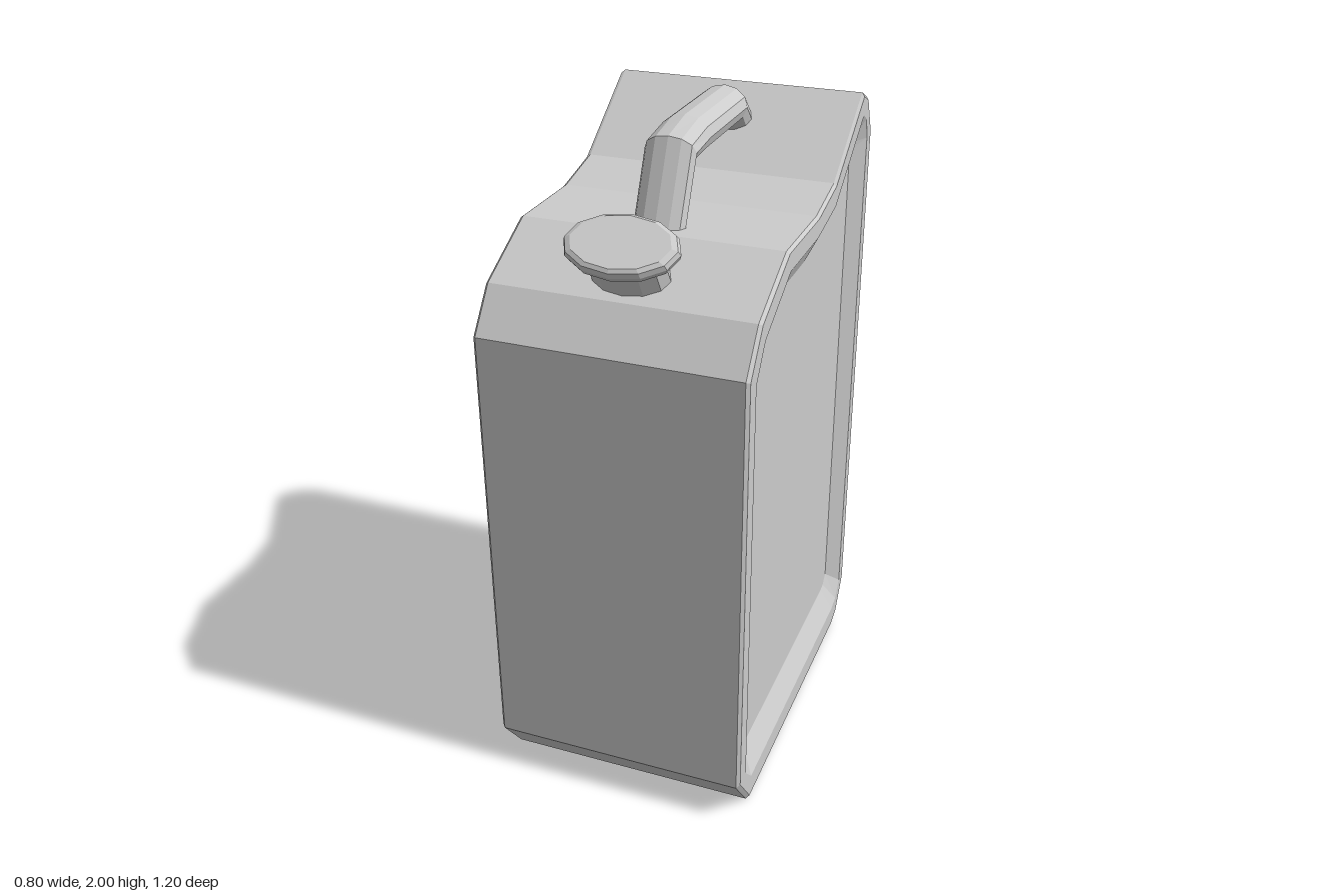
import * as THREE from 'three';

const material = new THREE.MeshStandardMaterial({ color: 0xcccccc, flatShading: true });

// Skin over a list of closed rings of Vector3; rings run counter-clockwise about the travel direction
function loft(rings, capShape) {
  const n = rings[0].length;
  const last = (rings.length - 1) * n;
  const positions = rings.flat().flatMap((p) => [p.x, p.y, p.z]);
  const index = [];
  for (let k = 0; k < rings.length - 1; k++) {
    for (let i = 0; i < n; i++) {
      const a = k * n + i, b = k * n + (i + 1) % n;
      index.push(a, b, b + n, a, b + n, a + n);
    }
  }
  if (capShape) {
    for (const [a, b, c] of THREE.ShapeUtils.triangulateShape(capShape, [])) {
      index.push(last + a, last + b, last + c, a, c, b);
    }
  }
  const indexed = new THREE.BufferGeometry();
  indexed.setAttribute('position', new THREE.Float32BufferAttribute(positions, 3));
  indexed.setIndex(index);
  const geometry = indexed.toNonIndexed();
  geometry.computeVertexNormals();
  return geometry;
}

function part(name, geometry) {
  const mesh = new THREE.Mesh(geometry, material);
  mesh.name = name;
  return mesh;
}

// Body side outlines as [z, y]: outer edge, top of the recess slope, recess floor
const outer = [[0.5, 0], [-0.47, 0], [-0.53, 0.02], [-0.6, 0.13], [-0.6, 1.84], [-0.545, 1.95],
  [-0.49, 1.975], [-0.2, 1.78], [-0.02, 1.74], [0.27, 1.74], [0.5, 1.625], [0.595, 1.5], [0.6, 0.13]];
const rim = [[0.48, 0.08], [-0.46, 0.08], [-0.505, 0.095], [-0.546, 0.15], [-0.546, 1.82], [-0.525, 1.885],
  [-0.49, 1.905], [-0.2, 1.71], [-0.02, 1.677], [0.25, 1.677], [0.465, 1.565], [0.535, 1.465], [0.537, 0.14]];
const floor = [[0.445, 0.165], [-0.44, 0.165], [-0.465, 0.17], [-0.493, 0.2], [-0.493, 1.79], [-0.49, 1.815],
  [-0.47, 1.82], [-0.2, 1.635], [-0.02, 1.597], [0.235, 1.597], [0.42, 1.5], [0.47, 1.42], [0.473, 0.19]];

function createBody() {
  // small edge bevel: pull the outer outline slightly towards the centre
  const bevel = outer.map(([z, y]) => [z * 0.983, 1 + (y - 1) * 0.99]);
  const half = [[0.39, outer], [0.4, bevel], [0.4, rim], [0.36, floor]];
  const layers = [...half.map(([x, o]) => [-x, o]).reverse(), ...half];
  const rings = layers.map(([x, outline]) => outline.map(([z, y]) => new THREE.Vector3(x, y, z)));
  return part('body', loft(rings, floor.map(([z, y]) => new THREE.Vector2(-z, y))));
}

function createHandle() {
  // stations: outer z, y then inner z, y
  const stations = [[0.27, 1.68, 0.19, 1.68], [0.133, 1.975, 0.095, 1.883], [0, 2, 0, 1.883],
    [-0.34, 2, -0.31, 1.883], [-0.47, 1.87, -0.38, 1.8]];
  const rings = stations.map(([oz, oy, iz, iy]) => Array.from({ length: 12 }, (_, i) => {
    const angle = (i / 12) * Math.PI * 2;
    const t = (1 + Math.sin(angle)) / 2;
    return new THREE.Vector3(-0.078 * Math.cos(angle), iy + (oy - iy) * t, iz + (oz - iz) * t);
  }));
  return part('handle', loft(rings));
}

function createSpout() {
  const spout = new THREE.Group();
  spout.name = 'spout';
  const lathe = (points) => new THREE.LatheGeometry(points.map(([r, y]) => new THREE.Vector2(r, y)), 12);
  spout.add(part('neck', lathe([[0.117, -0.2], [0.113, -0.035]])));
  spout.add(part('cap', lathe([[0, -0.045], [0.14, -0.045], [0.161, -0.035], [0.168, -0.018],
    [0.162, -0.003], [0.145, 0.004], [0, 0.004]])));
  // oval, leaning towards the front
  spout.scale.z = 0.63;
  spout.rotation.x = Math.PI / 6;
  spout.position.set(0, 1.787, 0.482);
  return spout;
}

export function createModel() {
  const model = new THREE.Group();
  model.name = 'fuelCan';
  model.add(createBody(), createHandle(), createSpout());
  return model;
}
